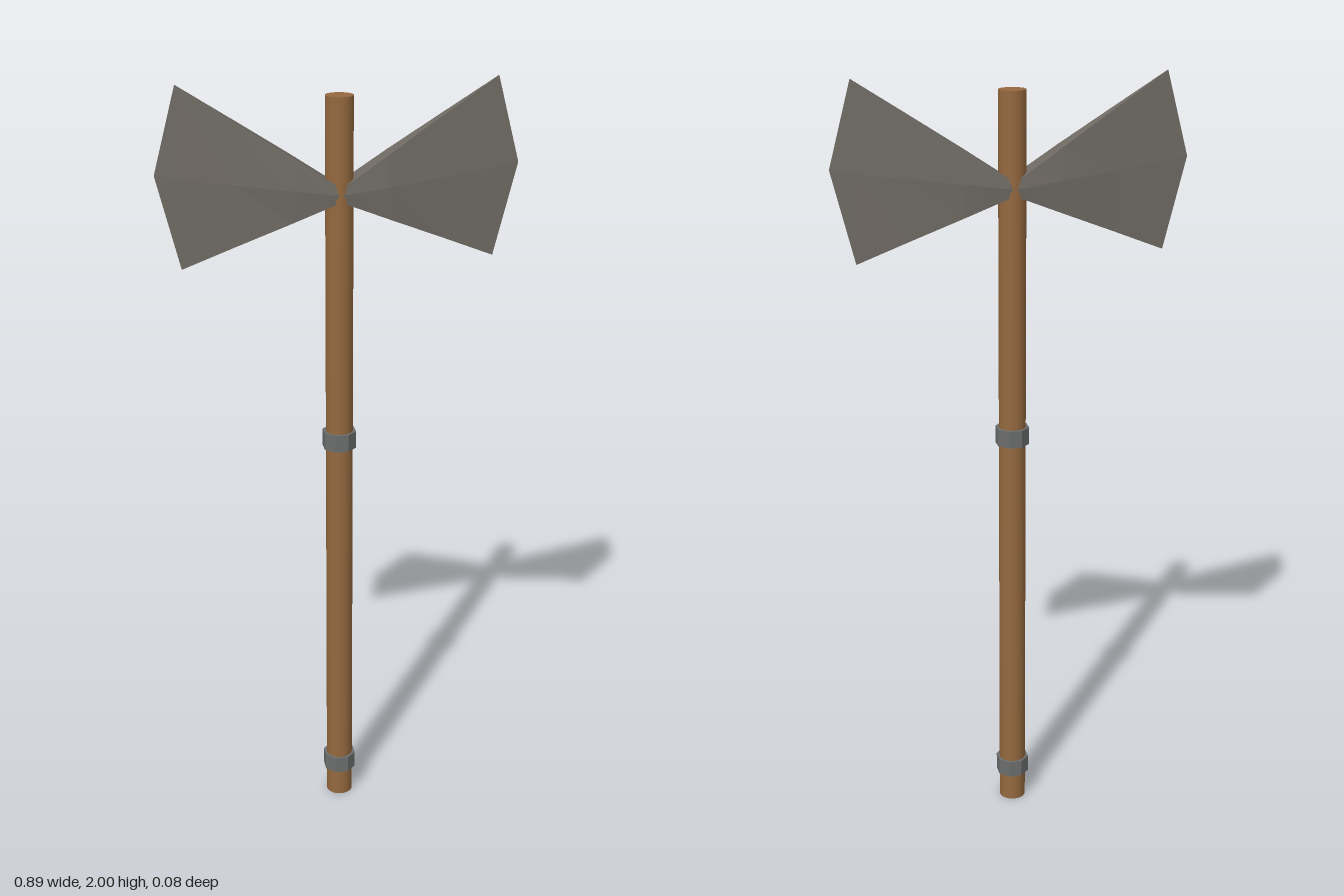
import * as THREE from 'three';

const wood = new THREE.MeshStandardMaterial({ color: 0x95693f });
wood.name = 'brown wood';
const steel = new THREE.MeshStandardMaterial({ color: 0x706b64, flatShading: true });
steel.name = 'warm grey steel';
const iron = new THREE.MeshStandardMaterial({ color: 0x6c6d6d, flatShading: true });
iron.name = 'grey iron';

// Lofts six-sided sections [x, bottom, top, half thickness at edge, half thickness at middle]
function loft(sections) {
  const pos = [], index = [], n = 6;
  for (const [x, y0, y1, e, m] of sections) {
    const ym = (y0 + y1) / 2;
    pos.push(x, y0, e, x, ym, m, x, y1, e, x, y1, -e, x, ym, -m, x, y0, -e);
  }
  for (let s = 0; s < sections.length - 1; s++) {
    for (let i = 0; i < n; i++) {
      const a = s * n + i, b = s * n + (i + 1) % n;
      index.push(a, a + n, b, b, a + n, b + n);
    }
  }
  const geometry = new THREE.BufferGeometry();
  geometry.setAttribute('position', new THREE.Float32BufferAttribute(pos, 3));
  geometry.setIndex(index);
  geometry.computeVertexNormals();
  return geometry;
}

export function createModel() {
  const axe = new THREE.Group();
  axe.name = 'doubleAxe';

  // Round shaft
  const handle = new THREE.Mesh(new THREE.CylinderGeometry(0.035, 0.036, 1.965, 16), wood);
  handle.name = 'handle';
  handle.position.y = 0.9825;
  axe.add(handle);

  // Eight-sided bands around the shaft
  for (const [name, y] of [['lowerBand', 0.1], ['upperBand', 1.083]]) {
    const band = new THREE.Mesh(new THREE.CylinderGeometry(0.0445, 0.0445, 0.046, 8), iron);
    band.name = name;
    band.position.y = y;
    band.rotation.y = Math.PI / 8;
    axe.add(band);
  }

  // Two flaring blades, thin at the cutting edge; the second is turned half round
  const blade = loft([
    [0, 1.71, 1.75, 0.032, 0.034],
    [0.03, 1.7, 1.765, 0.031, 0.034],
    [0.12, 1.664, 1.825, 0.026, 0.031],
    [0.26, 1.608, 1.916, 0.013, 0.017],
    [0.39, 1.555, 2.0, 0.001, 0.005],
    [0.447, 1.787, 1.789, 0.0005, 0.0005],
  ]);
  for (const [name, turn] of [['leftBlade', 0], ['rightBlade', Math.PI]]) {
    const mesh = new THREE.Mesh(blade, steel);
    mesh.name = name;
    mesh.rotation.y = turn;
    axe.add(mesh);
  }
  return axe;
}
